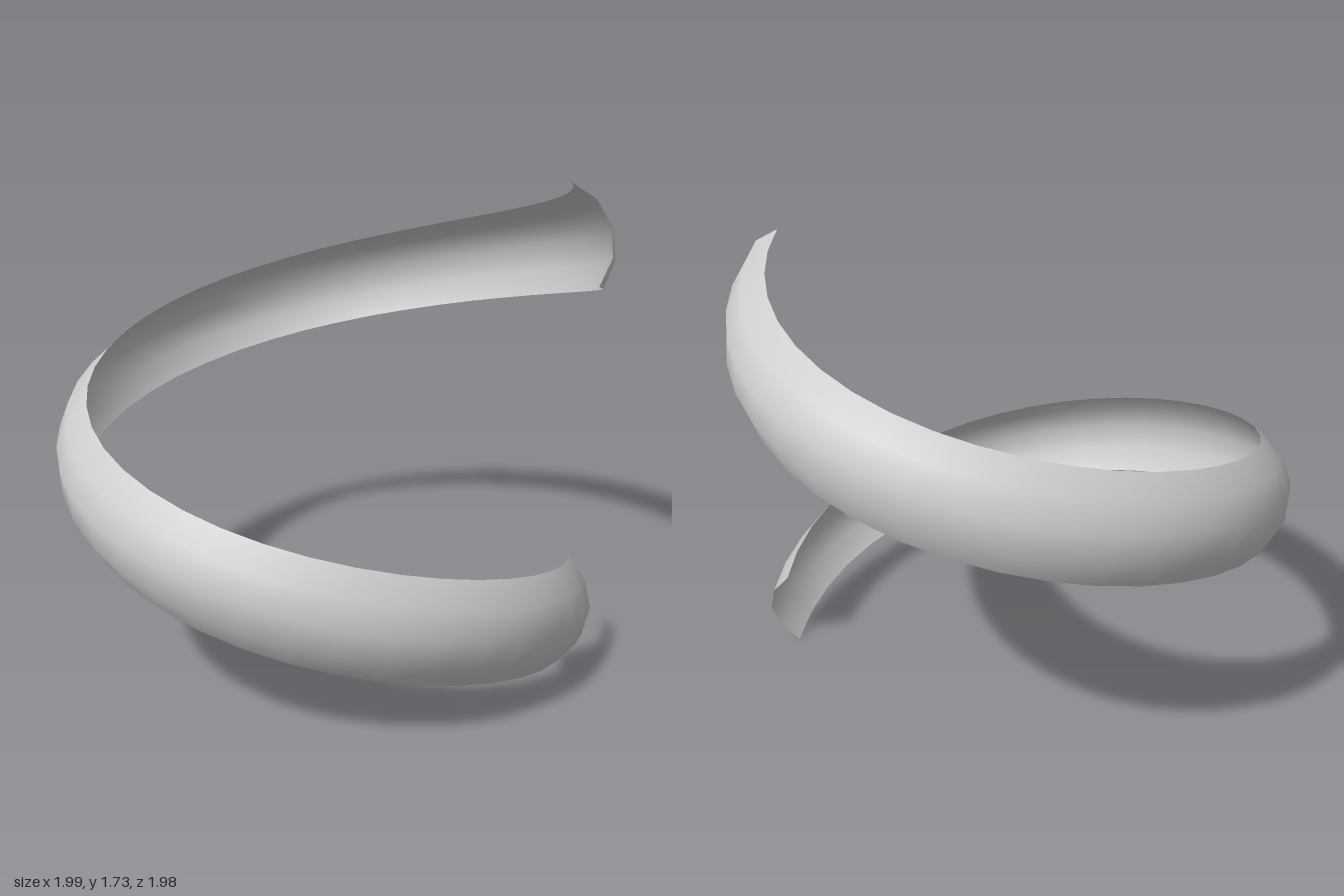
import * as THREE from 'three';

const STEPS = 40;          // segments along the coil
const SIDES = 4;           // segments across the band
const ARC_RADIUS = 0.225;  // curved cross-section
const HALF_ARC = 0.925;
const LEAN = 0.225;        // section leans back, square to the slope
const { lerp } = THREE.MathUtils;

// Point on the band: t runs up the coil, s from lower to upper edge
function bandPoint(t, s) {
  const turn = lerp(-0.052, Math.PI * 2 + 0.071, t);
  const arc = lerp(-HALF_ARC, HALF_ARC, s) + lerp(0, 0.35, t); // slow twist
  const radius = lerp(0.765, 0.776, t) + ARC_RADIUS * Math.cos(arc);
  const rise = ARC_RADIUS * Math.sin(arc);
  const back = -rise * Math.sin(LEAN);
  return [
    radius * Math.cos(turn) - back * Math.sin(turn),
    lerp(0.1755, 1.52, t) + rise * Math.cos(LEAN),
    radius * Math.sin(turn) + back * Math.cos(turn),
  ];
}

export function createModel() {
  const grey = new THREE.MeshStandardMaterial({ color: 0xcccccc, side: THREE.DoubleSide });
  grey.name = 'light grey';

  const positions = [];
  const indices = [];
  for (let i = 0; i <= STEPS; i++) {
    for (let j = 0; j <= SIDES; j++) {
      positions.push(...bandPoint(i / STEPS, j / SIDES));
      if (i === STEPS || j === SIDES) continue;
      const a = i * (SIDES + 1) + j;
      const b = a + SIDES + 1;
      indices.push(a, a + 1, b, a + 1, b + 1, b);
    }
  }
  const geometry = new THREE.BufferGeometry();
  geometry.setAttribute('position', new THREE.Float32BufferAttribute(positions, 3));
  geometry.setIndex(indices);
  geometry.computeVertexNormals();

  // Single-turn spiral band, open on the inside
  const band = new THREE.Mesh(geometry, grey);
  band.name = 'spiralBand';
  const group = new THREE.Group();
  group.name = 'spiral';
  group.add(band);
  return group;
}
